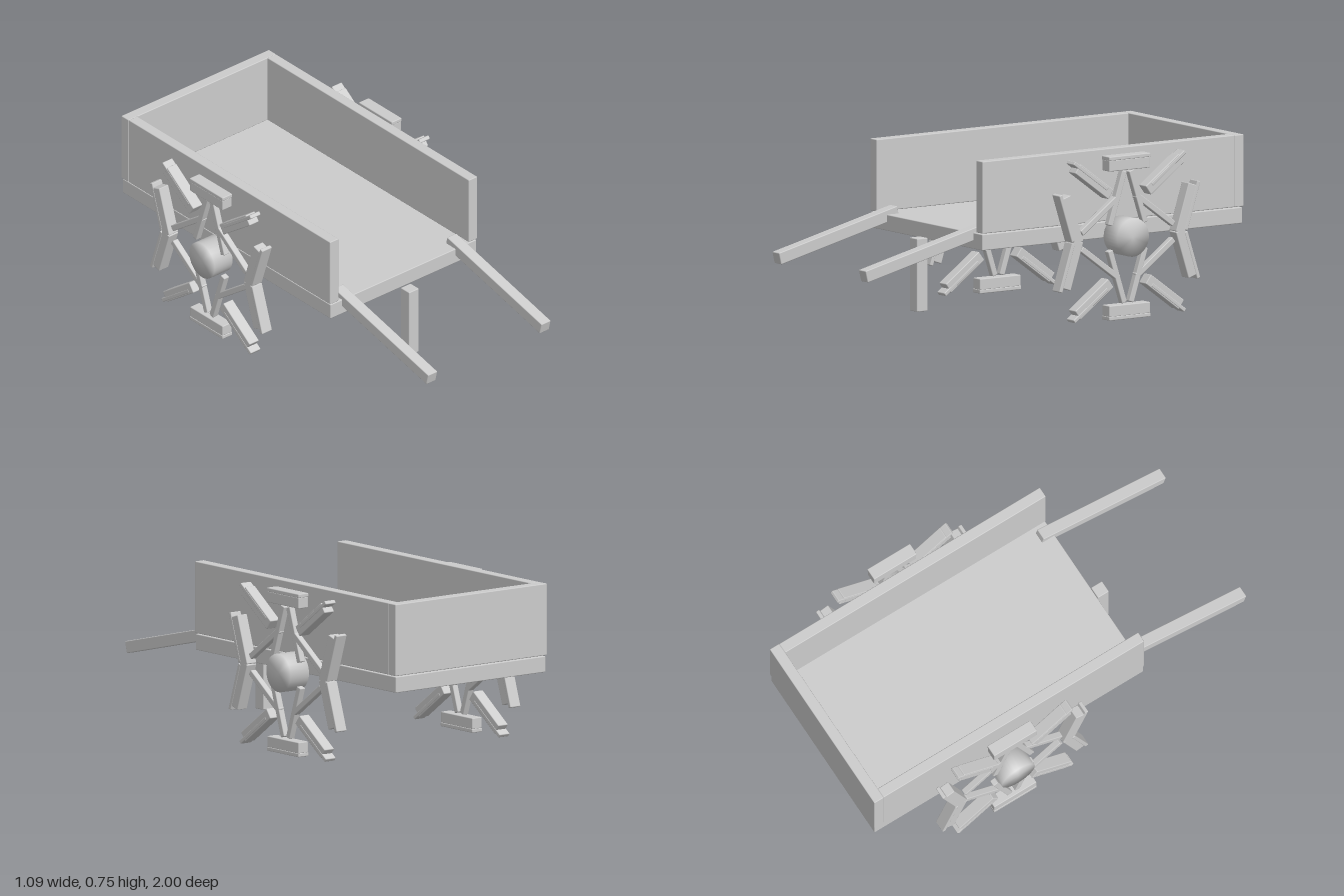
import * as THREE from 'three';
import { mergeVertices } from 'three/addons/utils/BufferGeometryUtils.js';
import { RoundedBoxGeometry } from 'three/addons/geometries/RoundedBoxGeometry.js';

export function createModel() {
  const cart = new THREE.Group();
  cart.name = 'handcart';
  const grey = new THREE.MeshStandardMaterial({ color: 0xcccccc });
  grey.name = 'plain grey';

  // Timber with slightly eased edges
  function beam(parent, name, size, pos, tilt = 0) {
    const mesh = new THREE.Mesh(new RoundedBoxGeometry(...size, 1, 0.004), grey);
    mesh.name = name;
    mesh.position.set(...pos);
    mesh.rotation.x = tilt;
    parent.add(mesh);
  }

  // Open-fronted cargo box
  beam(cart, 'floor', [0.85, 0.072, 1.41], [0, 0.396, -0.29]);
  beam(cart, 'backWall', [0.86, 0.322, 0.05], [0, 0.597, -0.974]);
  for (const s of [-1, 1]) {
    beam(cart, 'sideWall', [0.05, 0.322, 1.367], [s * 0.404, 0.597, -0.267]);
    beam(cart, 'handle', [0.054, 0.054, 0.66], [s * 0.33, 0.362, 0.672], 0.237);
  }
  beam(cart, 'propLeg', [0.058, 0.327, 0.058], [0, 0.207, 0.458]);

  // Hub with soft, shared normals
  const bare = new THREE.CylinderGeometry(0.086, 0.086, 0.104, 32);
  bare.deleteAttribute('normal');
  bare.deleteAttribute('uv');
  bare.rotateZ(Math.PI / 2);
  const hubGeometry = mergeVertices(bare);
  hubGeometry.computeVertexNormals();

  // Wheels: loose rim blocks, outer plates and spokes, each turned against its place on the circle
  for (const s of [-1, 1]) {
    const wheel = new THREE.Group();
    wheel.name = s > 0 ? 'leftWheel' : 'rightWheel';
    wheel.position.set(s * 0.493, 0.37, -0.317);
    const hub = new THREE.Mesh(hubGeometry, grey);
    hub.name = 'hub';
    wheel.add(hub);

    const place = (name, size, radius, degrees) => {
      const a = THREE.MathUtils.degToRad(degrees);
      beam(wheel, name, size, [0, radius * Math.sin(a), radius * Math.cos(a)], a - Math.PI / 2);
    };
    for (let i = 0; i < 10; i++) {
      place('rimBlock', [0.055, 0.05, 0.222], 0.325, 18 + 36 * i);
      place('rimPlate', [0.058, 0.018, 0.225], 0.357, 18 + 36 * i);
      if (i % 5 !== 0) place('spoke', [0.03, 0.25, 0.027], 0.184, 36 * i);
    }
    cart.add(wheel);
  }
  return cart;
}
